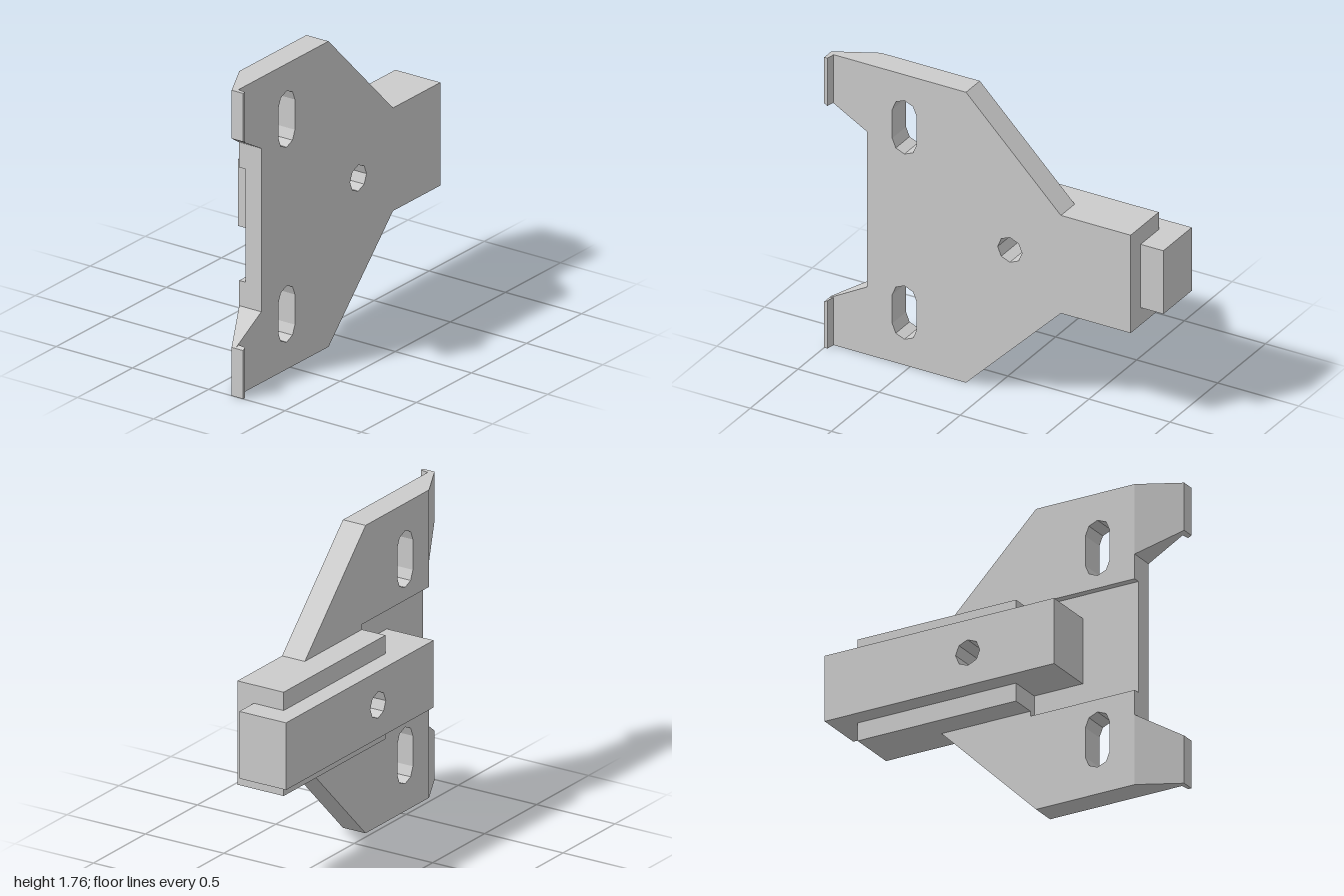
import * as THREE from 'three';

const material = new THREE.MeshStandardMaterial({ color: 0xcccccc, flatShading: true });
const MID = 0.881; // height of the mirror plane

// Extrude a (z, y) outline across x0..x1; an optional rule moves the vertices
function slab(name, points, x0, x1, holes = [], rule) {
  const toVec = ([z, y]) => new THREE.Vector2(z, y);
  const shape = new THREE.Shape(points.map(toVec));
  for (const h of holes) shape.holes.push(new THREE.Path(h.map(toVec)));
  const geo = new THREE.ExtrudeGeometry(shape, { depth: x1 - x0, bevelEnabled: false });
  geo.rotateY(-Math.PI / 2);
  geo.translate(x1, 0, 0);
  if (rule) {
    const p = geo.attributes.position, v = new THREE.Vector3();
    for (let i = 0; i < p.count; i++) {
      rule(v.fromBufferAttribute(p, i));
      p.setXYZ(i, v.x, v.y, v.z);
    }
    geo.computeVertexNormals();
  }
  const mesh = new THREE.Mesh(geo, material);
  mesh.name = name;
  return mesh;
}

// Eight-sided hole, stretched into a slot by half-length s
function hole(z, y, r, s = 0) {
  const pts = [];
  for (let i = 0; i < 8; i++) {
    const a = (i * Math.PI) / 4, dy = Math.sin(a) * r;
    const flat = i % 4 === 0;
    const zz = z + Math.cos(a) * r;
    if (flat && s) {
      const k = i === 0 ? -1 : 1;
      pts.push([zz, y + k * s], [zz, y - k * s]);
    } else pts.push([zz, y + dy + Math.sign(dy) * s]);
  }
  return pts;
}

const rect = (z0, z1, y0, y1) => [[z0, y0], [z1, y0], [z1, y1], [z0, y1]];
const flip = (pts) => pts.map(([z, y]) => [z, 2 * MID - y]).reverse();

export function createModel() {
  const group = new THREE.Group();
  const bolt = hole(-0.115, MID, 0.075);
  const slot = hole(0.535, 0.319, 0.075, 0.087);
  const holes = [bolt, slot, flip(slot)];

  // Plate in two layers; the inner one leaves a groove at the front
  const half = [[-0.86, 0.584], [-0.43, 0.584], [0.155, 0], [0.765, 0], [0.765, 0.41]];
  const groove = [[0.765, 0.555], [0.12, 0.555]];
  group.add(slab('plate', [...half, ...flip(half)], 0.07, 0.175, holes));
  group.add(slab('groovedPlateLayer',
    [...half, ...groove, ...flip(groove), ...flip(half)], 0.03, 0.07, holes));

  // Front legs with a sloped inner face, and the thin lip at each tip
  const leg = [[0.765, 0], [1, 0], [1, 0.279], [0.765, 0.41]];
  const lip = [[0.98, 0], [1, 0], [1, 0.279], [0.98, 0.29]];
  const slope = (v) => { if (v.z > 0.9 && v.x < 0.1) v.x = 0.15; };
  const lean = (v) => { if (v.z < 0.99 && v.x < 0.2) v.z = 0.97; };
  for (const [side, map] of [['lower', (p) => p], ['upper', flip]]) {
    group.add(slab(side + 'Leg', map(leg), 0.03, 0.175, [], slope));
    group.add(slab(side + 'Lip', map(lip), 0.17, 0.225, [], lean));
    // Step beside the rail
    group.add(slab(side + 'RailStep', map(rect(-0.86, 0.12, 0.584, 0.69)), -0.12, 0.03));
  }

  // Long rail standing off the plate
  group.add(slab('rail', rect(-1, 0.42, 0.689, 1.073), -0.228, 0.07, [bolt]));
  return group;
}
